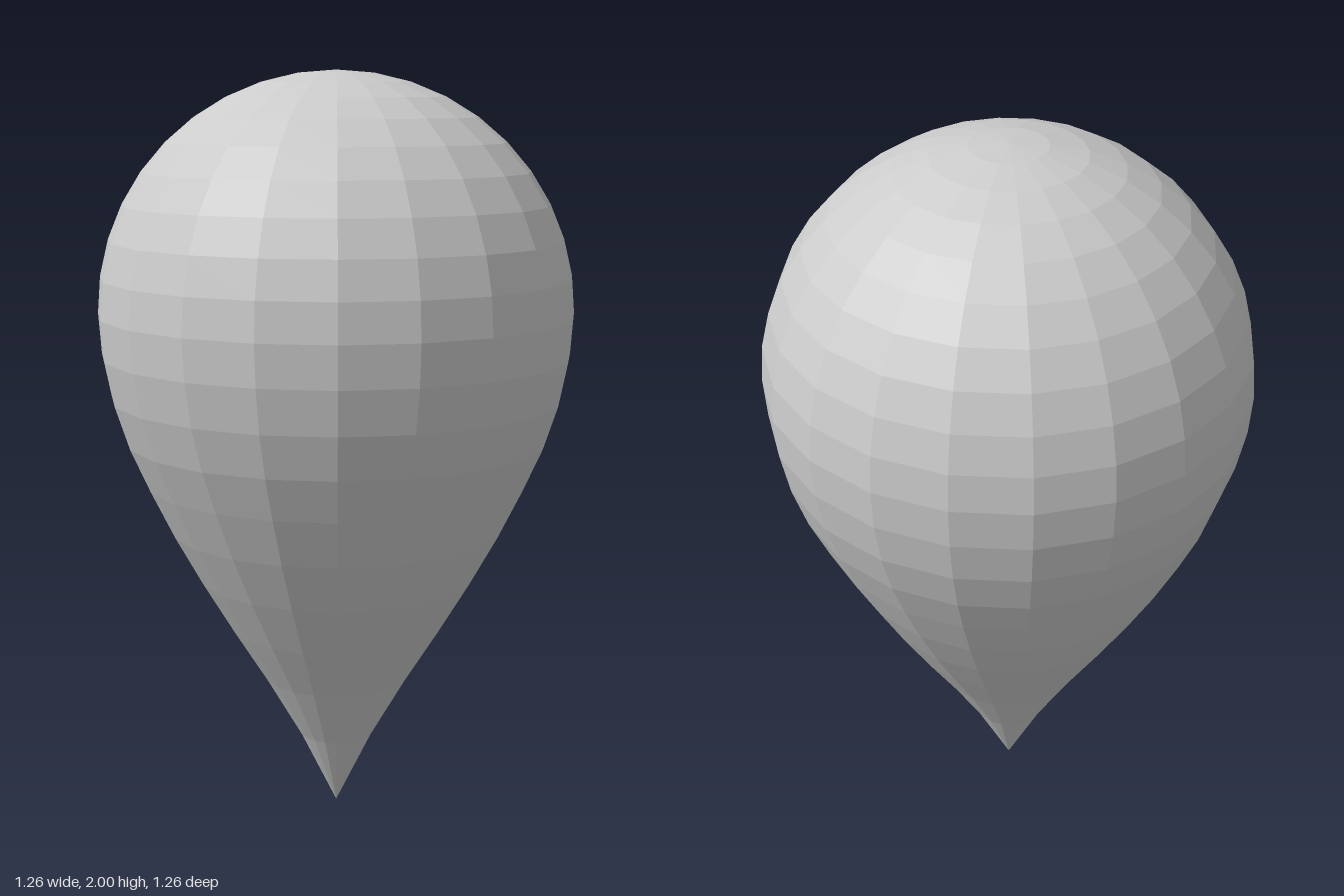
import * as THREE from 'three';

const RADIUS = 0.632;
const CENTRE_Y = 2 - RADIUS;
const STEPS = 10; // rings per half, 9 degrees apart

// Heights of the lower rings, stretched from the equator down to the tip
const LOWER_HEIGHTS = [0, 0.2, 0.365, 0.51, 0.65, 0.785, 0.915, 1.03, 1.145, 1.26];

export function createModel() {
  const group = new THREE.Group();
  group.name = 'teardrop';

  // Profile from tip to crown: a sphere whose lower half is drawn out to a point
  const profile = [];
  for (let i = 0; i <= 2 * STEPS; i++) {
    const angle = (i / (2 * STEPS)) * Math.PI;
    const r = i % (2 * STEPS) === 0 ? 0 : RADIUS * Math.sin(angle);
    const y = i < STEPS ? LOWER_HEIGHTS[i] : CENTRE_Y - RADIUS * Math.cos(angle);
    profile.push(new THREE.Vector2(r, y));
  }

  // Faceted body with 20 sides
  const material = new THREE.MeshStandardMaterial({ color: 0xcccccc, flatShading: true });
  const body = new THREE.Mesh(new THREE.LatheGeometry(profile, 20), material);
  body.name = 'teardropBody';
  group.add(body);
  return group;
}
